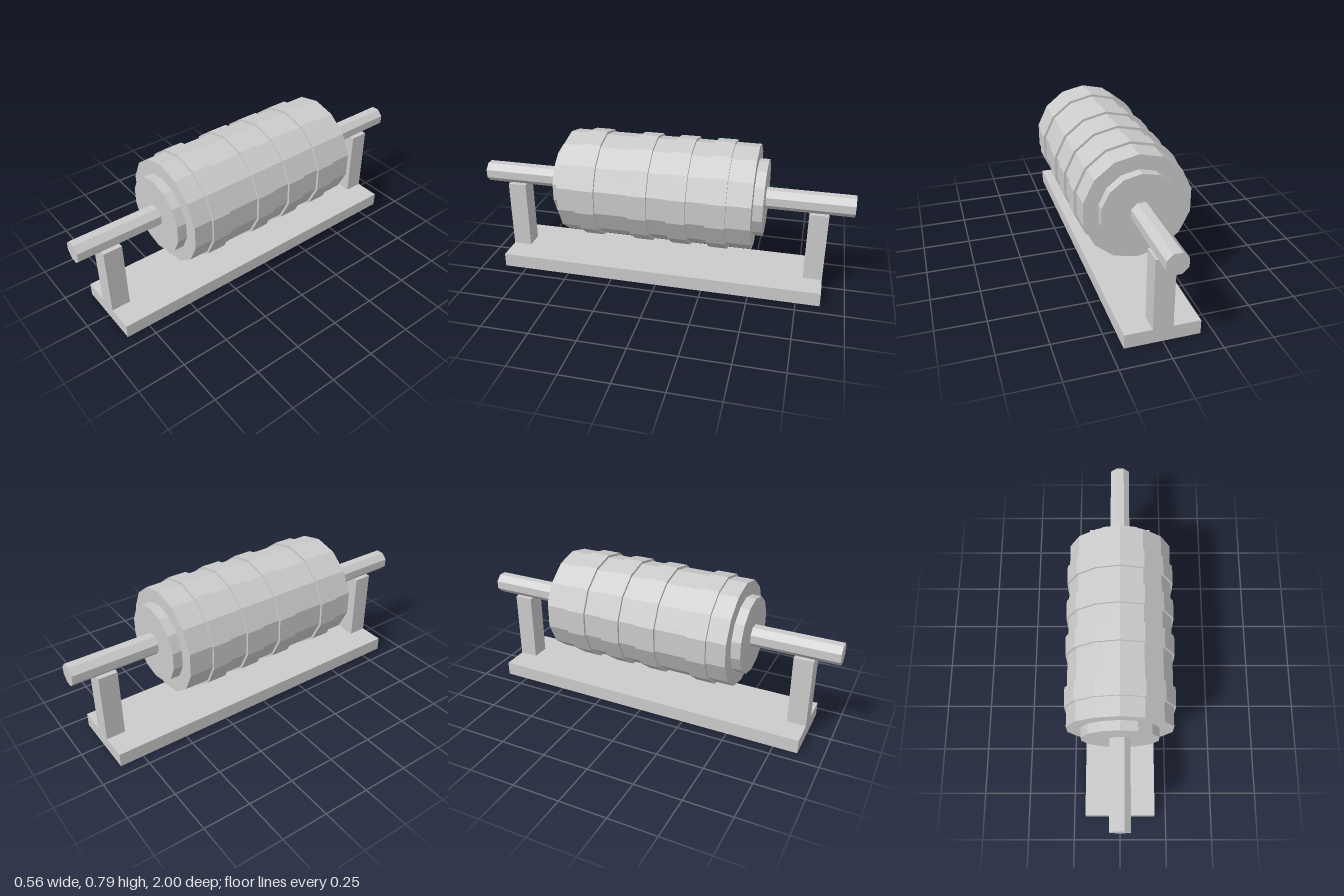
import * as THREE from 'three';

export function createModel() {
  const group = new THREE.Group();
  const material = new THREE.MeshStandardMaterial({ color: 0xcccccc, flatShading: true });
  const axisY = 0.5;

  function add(name, geometry, x, y, z) {
    const mesh = new THREE.Mesh(geometry, material);
    mesh.name = name;
    mesh.position.set(x, y, z);
    group.add(mesh);
  }

  // Faceted cylinder lying along z between z0 and z1
  function roller(name, radius, sides, z0, z1, twist = 0) {
    const geometry = new THREE.CylinderGeometry(radius, radius, z1 - z0, sides);
    geometry.rotateY(twist).rotateX(Math.PI / 2);
    add(name, geometry, 0, axisY, (z0 + z1) / 2);
  }

  // Stand: base plate and a post at each end
  add('base', new THREE.BoxGeometry(0.375, 0.075, 1.75), 0, 0.0375, 0);
  for (const [name, side] of [['frontPost', 1], ['backPost', -1]]) {
    add(name, new THREE.BoxGeometry(0.1, 0.375, 0.1), 0, 0.2625, side * 0.825);
  }

  // Axle, with flats at top and bottom
  roller('axle', 0.0563, 8, -1, 1, Math.PI / 8);

  // Drum with smaller end hubs
  roller('hub', 0.2, 14, -0.55, 0.55);
  roller('drum', 0.275, 14, -0.5, 0.5);

  // Raised bands, unevenly spaced along the drum
  [0.35, 0.075, -0.125, -0.325].forEach((z, i) => {
    roller(`band${i + 1}`, 0.2875, 14, z - 0.05, z + 0.05);
  });

  return group;
}
